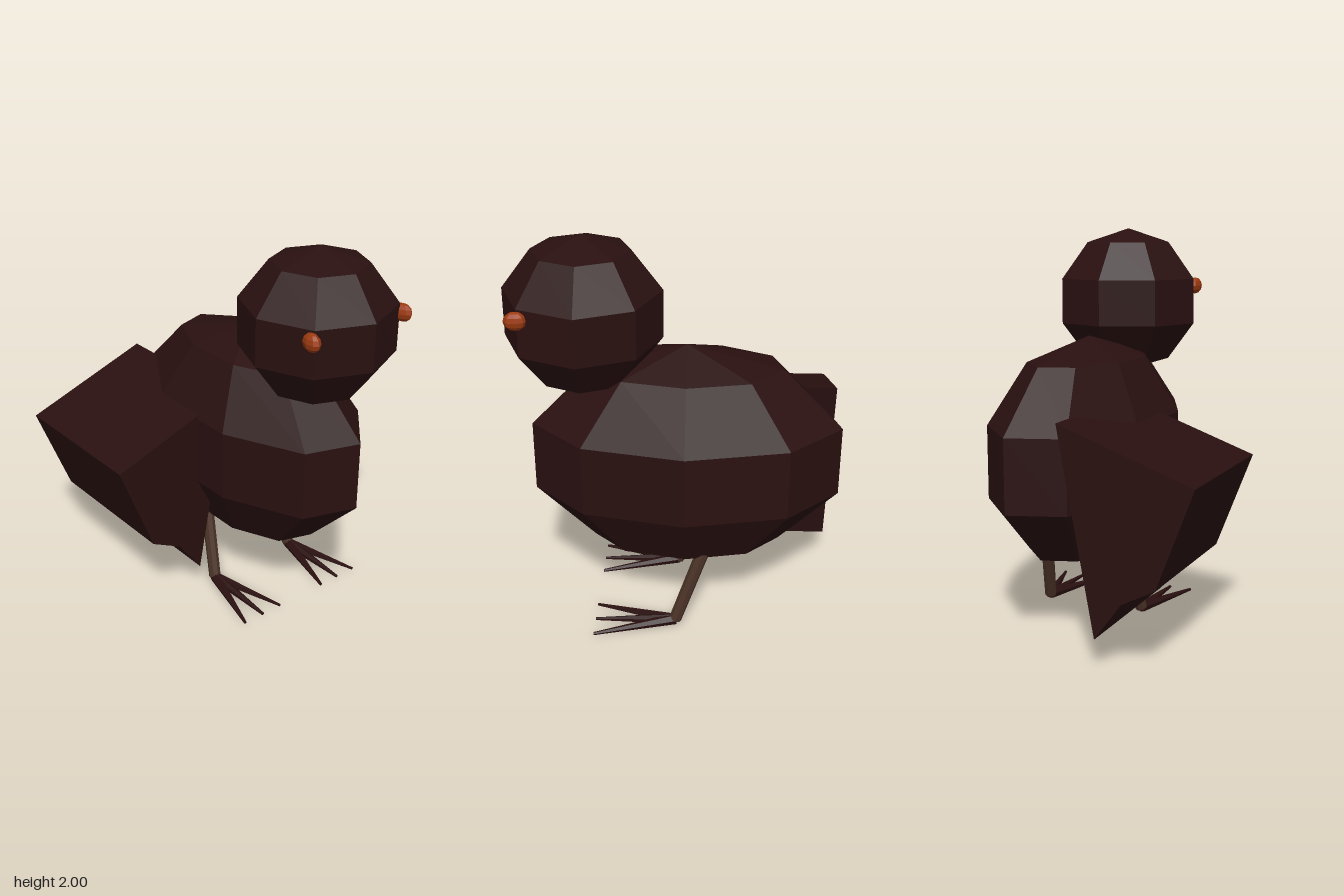
import * as THREE from 'three';

const mat = (name, color) => {
  const m = new THREE.MeshStandardMaterial({ color, flatShading: true });
  m.name = name;
  return m;
};

export function createModel() {
  const plumage = mat('dark plumage', 0x2a1010);
  const shank = mat('brown leg', 0x4a3226);
  const amber = mat('orange eye', 0x9c3a10);
  const model = new THREE.Group();
  model.name = 'bird';

  const add = (name, geometry, material) => {
    const mesh = new THREE.Mesh(geometry, material);
    mesh.name = name;
    model.add(mesh);
    return mesh;
  };

  // Faceted ellipsoid with the given centre and radii
  const ellipsoid = (name, centre, radii, sides, rings, material) => {
    const mesh = add(name, new THREE.SphereGeometry(1, sides, rings, Math.PI), material);
    mesh.position.set(...centre);
    mesh.scale.set(...radii);
    return mesh;
  };

  // Tapered rod between two points, optionally flattened in height
  const rod = (name, from, to, r0, r1, sides, material) => {
    const a = new THREE.Vector3(...from), b = new THREE.Vector3(...to);
    const dir = b.clone().sub(a);
    const geometry = new THREE.CylinderGeometry(r1, r0, dir.length(), sides);
    const mesh = add(name, geometry, material);
    mesh.position.copy(a).add(b).multiplyScalar(0.5);
    mesh.quaternion.setFromUnitVectors(new THREE.Vector3(0, 1, 0), dir.normalize());
    return mesh;
  };

  const midX = 0.225;
  ellipsoid('body', [midX, 0.87, -0.06], [0.434, 0.59, 0.81], 9, 5, plumage);
  ellipsoid('head', [midX, 1.615, 0.435], [0.4, 0.385, 0.4], 8, 5, plumage);

  // Angular tail: one profile carried straight back
  const profile = [[-0.64, 0.9], [-0.455, 0.42], [-0.29, 0.335], [-0.155, 0.15], [0.03, 1.14]];
  const shape = new THREE.Shape(profile.map(([x, y]) => new THREE.Vector2(x, y)));
  const tail = add('tail', new THREE.ExtrudeGeometry(shape, { depth: 0.81, bevelEnabled: false }), plumage);
  tail.position.z = -0.81;

  // Mirrored eyes, legs and three-toed feet
  for (const [side, s] of [['left', 1], ['right', -1]]) {
    const eye = ellipsoid(side + 'Eye', [midX + s * 0.287, 1.685, 0.705], [0.034, 0.045, 0.055], 8, 6, amber);
    eye.rotation.y = s * 0.1;
    const footX = midX + s * 0.27;
    rod(side + 'Leg', [footX, 0.03, -0.01], [midX + s * 0.215, 0.425, -0.152], 0.032, 0.034, 8, shank);
    for (const [i, spread] of [-0.12, 0, 0.12].entries()) {
      const toe = rod(side + 'Toe' + (i + 1), [footX, 0.03, -0.01],
        [footX + spread, 0.016, 0.4], 0.03, 0.008, 6, plumage);
      toe.scale.z = 0.9;
    }
  }
  return model;
}
